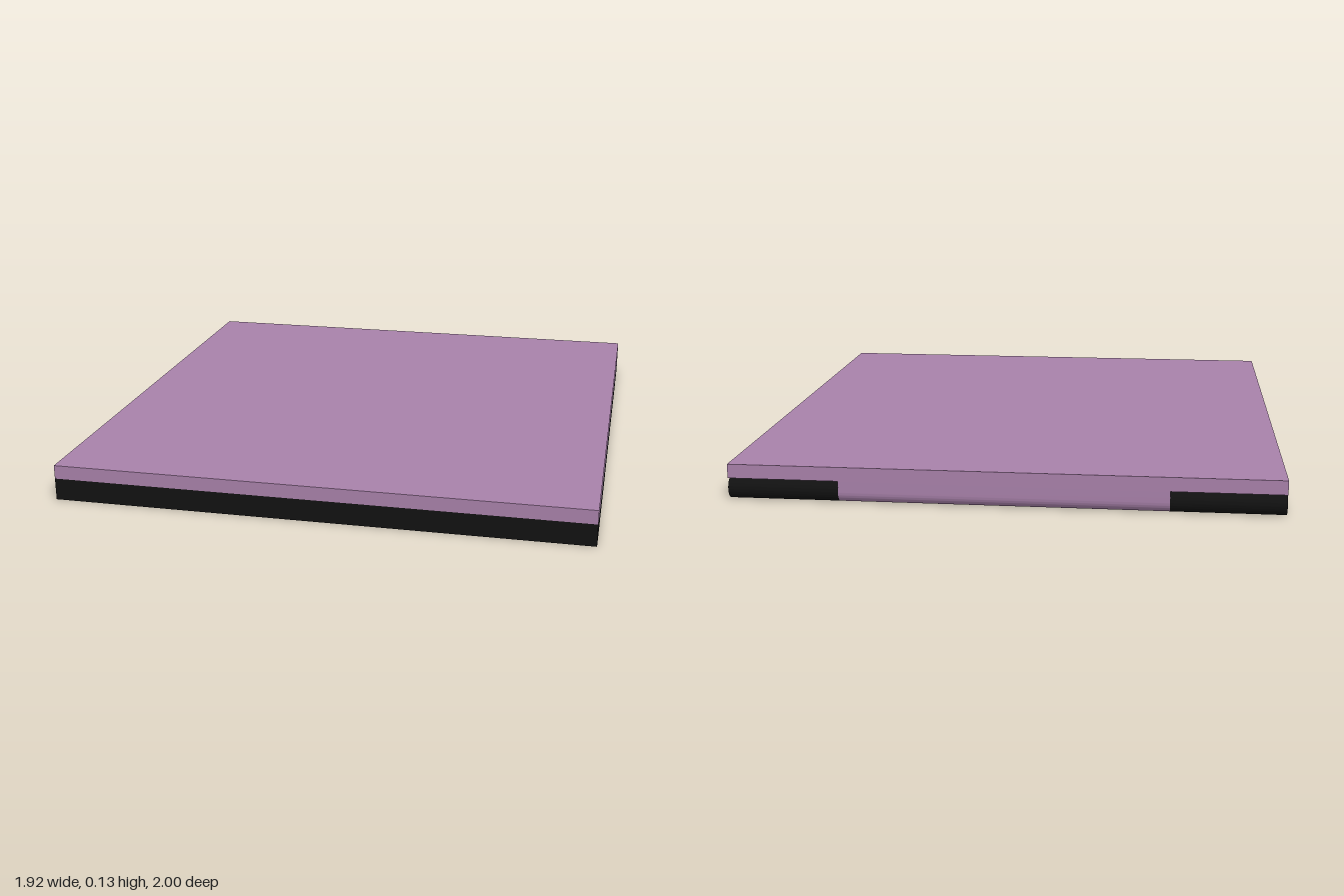
import * as THREE from 'three';
import { toCreasedNormals } from 'three/addons/utils/BufferGeometryUtils.js';

const HALF_W = 0.96;    // half width along x
const BACK = -1;        // rear edge
const BASE_TOP = 0.08;  // where the lid rests
const TOP = 0.13;
const R = BASE_TOP / 2; // hinge radius
const HINGE_X = 0.57;   // half length of the centre hinge
const AXIS = BACK + R;  // z of the hinge axis
const NOTCH = AXIS + R; // z of the notch wall

const black = new THREE.MeshStandardMaterial({ color: 0x111111 });
const purple = new THREE.MeshStandardMaterial({ color: 0xa881aa });

function add(group, name, geometry, material) {
  const mesh = new THREE.Mesh(geometry, material);
  mesh.name = name;
  group.add(mesh);
}

// Box given by its extents in y and z, full width in x
function slab(y0, y1, z0, z1) {
  return new THREE.BoxGeometry(HALF_W * 2, y1 - y0, z1 - z0)
    .translate(0, (y0 + y1) / 2, (z0 + z1) / 2);
}

// Sweeps a (z, y) profile along x from x0 to x1
function sweep(shape, x0, x1) {
  const geometry = new THREE.ExtrudeGeometry(shape, { depth: x1 - x0, bevelEnabled: false, curveSegments: 20 });
  geometry.rotateY(-Math.PI / 2).translate(x1, 0, 0);
  return toCreasedNormals(geometry, 0.6);
}

export function createModel() {
  const model = new THREE.Group();
  model.name = 'foldingCase';

  // Lower half, with a rounded knuckle at each rear corner
  const base = new THREE.Group();
  base.name = 'base';
  add(base, 'baseBody', slab(0, BASE_TOP, NOTCH, 1), black);
  const knuckle = new THREE.Shape();
  knuckle.moveTo(NOTCH, 0);
  knuckle.lineTo(NOTCH, BASE_TOP);
  knuckle.lineTo(AXIS, BASE_TOP);
  knuckle.absarc(AXIS, R, R, Math.PI / 2, Math.PI * 1.5, false);
  knuckle.closePath();
  add(base, 'leftKnuckle', sweep(knuckle, HINGE_X, HALF_W), black);
  add(base, 'rightKnuckle', sweep(knuckle, -HALF_W, -HINGE_X), black);

  // Lid, with the hinge barrel hanging from its rear edge
  const lid = new THREE.Group();
  lid.name = 'lid';
  add(lid, 'lidPanel', slab(BASE_TOP, TOP, BACK, 1), purple);
  const barrel = new THREE.Shape();
  barrel.moveTo(NOTCH, BASE_TOP);
  barrel.lineTo(BACK, BASE_TOP);
  barrel.lineTo(BACK, R);
  barrel.absarc(AXIS, R, R, Math.PI, Math.PI * 2, false);
  barrel.closePath();
  add(lid, 'hingeBarrel', sweep(barrel, -HINGE_X, HINGE_X), purple);

  model.add(base, lid);
  return model;
}
